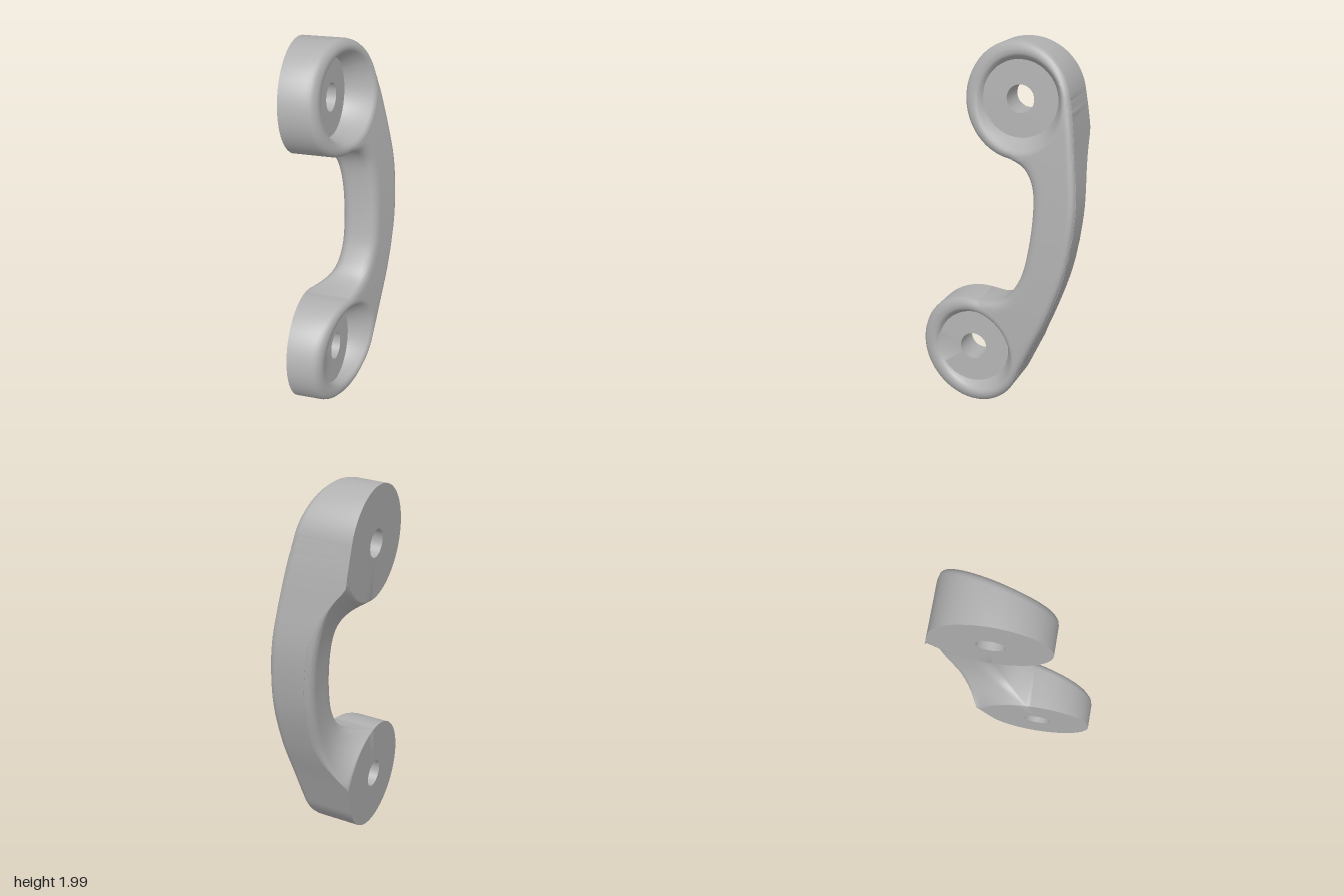
import * as THREE from 'three';
import { toCreasedNormals } from 'three/addons/utils/BufferGeometryUtils.js';

const R = 0.297, HOLE = 0.073, FLOOR_R = 0.2, FLOOR_H = 0.17, FILLET = 0.037, TILT = 0.076;
const { lerp, degToRad } = THREE.MathUtils;

// Bosses: centre in z and y, and the angles where the arm's outer and inner edges leave the circle
const upper = { z: -0.08, y: 1.685, outer: 168, inner: 274 };
const lower = { z: 0.146, y: 0.302, outer: 205, inner: 100 };
const bosses = [upper, lower];

const onCircle = (b, deg, r = R) =>
  new THREE.Vector2(b.z + r * Math.cos(degToRad(deg)), b.y + r * Math.sin(degToRad(deg)));
const joint = (b, u) => onCircle(b, lerp(b.outer, b.inner, u));

// Arm edges as (z, y) curves from the upper boss to the lower one
const edge = (u, pts) => new THREE.SplineCurve(
  [joint(upper, u), ...pts.map(p => new THREE.Vector2(...p)), joint(lower, u)]);
const outerEdge = edge(0, [[-0.397, 1.6], [-0.42, 1.42], [-0.44, 1.22], [-0.431, 1.04], [-0.392, 0.82], [-0.312, 0.59], [-0.215, 0.38]]);
const innerEdge = edge(1, [[-0.14, 1.355], [-0.19, 1.28], [-0.205, 1.17], [-0.195, 1.0], [-0.165, 0.83],
  [-0.13, 0.74], [-0.07, 0.655], [0, 0.615]]);

// Sample steps: fine near the rounded edges
const round = [0, 1, 2, 3, 4].map(k => 1 - Math.cos(k * Math.PI / 8));
const us = round.map(t => 0.21 * t);
for (let i = 1; i < 10; i++) us.push(lerp(0.21, 0.79, i / 10));
us.push(...round.map(t => 1 - 0.21 * t).reverse());

function bossAngles(b) {
  const list = us.map(u => lerp(b.outer, b.inner, u)).sort((p, q) => p - q);
  const lo = list[0], hi = list[list.length - 1], n = 80;
  for (let i = 1; i <= n; i++) list.push(lerp(hi, lo + 360, i / n));
  return list;
}

// Dense samples of the whole silhouette, for the distance to the edge
const outline = [];
for (const c of [outerEdge, innerEdge]) outline.push(...c.getSpacedPoints(700));
for (const b of bosses) {
  const a = bossAngles(b).slice(us.length - 1);
  for (let i = 0; i <= 600; i++) outline.push(onCircle(b, lerp(a[0], a[a.length - 1], i / 600)));
}
function edgeDistance(p) {
  let best = 1;
  for (const o of outline) best = Math.min(best, (o.x - p.x) ** 2 + (o.y - p.y) ** 2);
  const e = Math.sqrt(best);
  return e < 0.002 ? 0 : e;
}
const rounding = (e, r) => e >= r ? 0 : r - Math.sqrt(r * r - (r - e) ** 2);

// Heights (along x) of the flat back and the curved face
const back = y => -0.08 - TILT * y;
const face = p => 0.176 - 0.052 * p.y * p.y - 0.24 * p.x;
const top = p => face(p) - rounding(edgeDistance(p), FILLET);

// Height of the arm's hollowed underside, which rises later and more gently at the outer edge (u = 0)
function under(p, u) {
  const gap = Math.min(...bosses.map(b => Math.hypot(p.x - b.z, p.y - b.y))) - R;
  const d = Math.max(0, gap - 0.065 * (1 - u) ** 2);
  const h = 0.14 * (1 - Math.exp(-d / lerp(0.13, 0.09, u)));
  const r = Math.min(0.045, h * 0.4);
  return back(p.y) + h + (r > 0 ? rounding(edgeDistance(p), r) : 0);
}

// Places a (z, y) point at height x, leaning with the back plane's normal
const place = (p, x) => [x, p.y + TILT * (x - back(p.y)), p.x];

// Adds a grid of points (rows of columns) to a triangle list
function addGrid(out, rows, flip = false, skip = () => false) {
  for (let i = 0; i + 1 < rows.length; i++) {
    for (let j = 0; j + 1 < rows[i].length; j++) {
      if (skip(i, j)) continue;
      const a = rows[i][j], b = rows[i + 1][j], c = rows[i + 1][j + 1], d = rows[i][j + 1];
      const tris = flip ? [a, c, b, a, d, c] : [a, b, c, a, c, d];
      for (const p of tris) out.push(...p);
    }
  }
}

// Boss: outer wall, rounded rim, tapered recess, floor, through hole and flat back
function addBoss(out, b) {
  const columns = bossAngles(b).map(deg => {
    const at = (r, h) => {
      const p = onCircle(b, deg, r);
      return place(p, h(p));
    };
    const base = p => back(p.y);
    const floor = p => back(p.y) + FLOOR_H;
    const q = onCircle(b, deg, 0.23);
    const open = Math.min(0.25, FLOOR_R + 0.4 * Math.max(0.02, face(q) - floor(q)));
    const rim = open + 0.014;
    return [
      at(R, base),
      ...round.map(t => at(R - (R - rim) * t, top)),
      at(open, p => face(p) - 0.012),
      at(FLOOR_R, floor), at(HOLE, floor), at(HOLE, base), at(R, base),
    ];
  });
  const rows = columns[0].map((_, i) => columns.map(c => c[i]));
  // the wall is left open where the arm joins
  addGrid(out, rows, false, (i, j) => i === 0 && j < us.length - 1);
}

// Arm: a patch between the two bosses, with face, underside and two sides
function addArm(out) {
  const n = 56, patch = [];
  for (let i = 0; i <= n; i++) {
    const v = 0.5 - 0.5 * Math.cos(Math.PI * i / n);
    const o = outerEdge.getPointAt(v), q = innerEdge.getPointAt(v);
    patch.push(us.map(u => {
      const p = o.clone().lerp(q, u);
      for (const [b, w] of [[upper, (1 - v) ** 3], [lower, v ** 3]]) {
        const bulge = joint(b, u).sub(joint(b, 0).lerp(joint(b, 1), u));
        p.addScaledVector(bulge, w);
      }
      return p;
    }));
  }
  const faceRows = patch.map(row => row.map(p => place(p, top(p))));
  const underRows = patch.map(row => row.map((p, j) => place(p, under(p, us[j]))));
  const last = us.length - 1;
  addGrid(out, faceRows, true);
  addGrid(out, underRows);
  addGrid(out, faceRows.map((r, i) => [underRows[i][0], r[0]]), true);
  addGrid(out, faceRows.map((r, i) => [underRows[i][last], r[last]]));
}

export function createModel() {
  const grey = new THREE.MeshStandardMaterial({ color: 0xb0b0b0 });
  grey.name = 'grey';

  const triangles = [];
  bosses.forEach(b => addBoss(triangles, b));
  addArm(triangles);

  const geometry = new THREE.BufferGeometry();
  geometry.setAttribute('position', new THREE.Float32BufferAttribute(triangles, 3));
  // enlarged while smoothing so that small roundings stay distinct
  geometry.scale(100, 100, 100);
  const smooth = toCreasedNormals(geometry, 0.9);
  smooth.scale(0.01, 0.01, 0.01);

  const handle = new THREE.Mesh(smooth, grey);
  handle.name = 'curvedHandle';
  const group = new THREE.Group();
  group.name = 'pullHandle';
  group.add(handle);
  return group;
}
